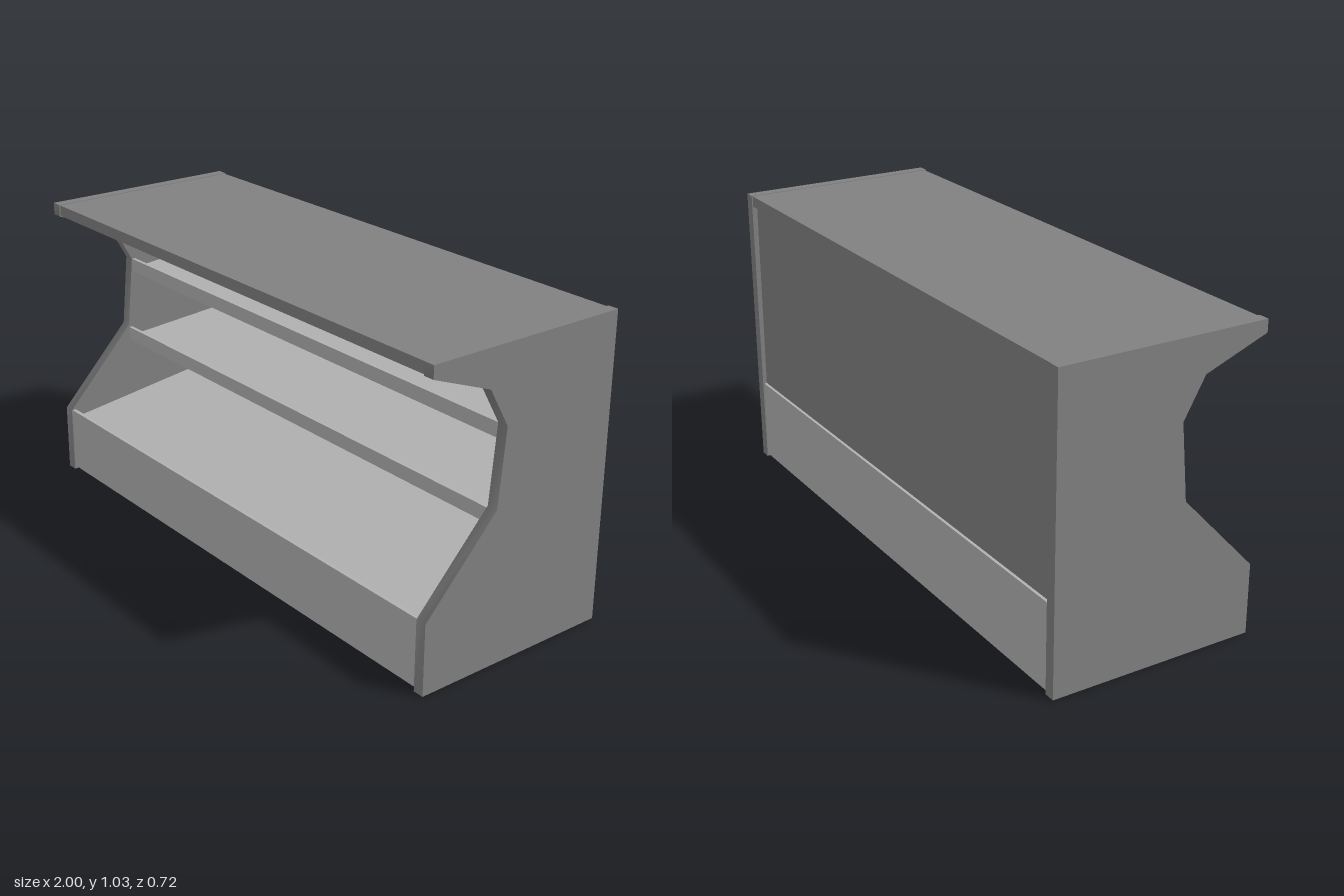
import * as THREE from 'three';
import { toCreasedNormals } from 'three/addons/utils/BufferGeometryUtils.js';

const HALF = 1, WALL = 0.038, INNER = HALF - WALL;

export function createModel() {
  const group = new THREE.Group();
  const darkGrey = new THREE.MeshStandardMaterial({ name: 'darkGrey', color: 0x808080 });
  const lightGrey = new THREE.MeshStandardMaterial({ name: 'lightGrey', color: 0xb0b0b0 });

  // Extrudes a side profile of [z, y] points from x0 to x1
  function profile(name, points, x0, x1, material, crease = 0) {
    const shape = new THREE.Shape(points.map(([z, y]) => new THREE.Vector2(-z, y)));
    let geo = new THREE.ExtrudeGeometry(shape, { depth: x1 - x0, bevelEnabled: false });
    geo.rotateY(Math.PI / 2).translate(x0, 0, 0);
    if (crease) geo = toCreasedNormals(geo, crease);
    const mesh = new THREE.Mesh(geo, material);
    mesh.name = name;
    group.add(mesh);
  }
  const across = (name, points, material) => profile(name, points, -INNER, INNER, material);
  const slab = (name, z0, z1, y0, y1, material) =>
    across(name, [[z0, y0], [z1, y0], [z1, y1], [z0, y1]], material);

  // Shaped end panels with softly shaded rims
  const side = [[0.362, 0], [0.36, 0.24], [0.095, 0.52], [0.07, 0.775], [0.143, 0.905],
    [0.36, 0.988], [0.36, 1.03], [-0.361, 1.03], [-0.355, 0]];
  profile('rightPanel', side, -HALF, -INNER, darkGrey, 1.25);
  profile('leftPanel', side, INNER, HALF, darkGrey, 1.25);

  // Counter top and recessed back
  slab('top', -0.357, 0.356, 0.99, 1.028, darkGrey);
  slab('backPanel', -0.342, -0.327, 0.28, 0.99, darkGrey);

  // Base with a deck rising towards the back, and its front lip
  across('base', [[0.356, 0.01], [0.356, 0.207], [-0.33, 0.3], [-0.352, 0.3], [-0.352, 0.01]], lightGrey);
  slab('baseLip', 0.343, 0.357, 0.2, 0.24, lightGrey);

  // Tilted shelves with front lips
  for (const [label, z, y] of [['lower', 0.094, 0.461], ['upper', 0.069, 0.724]]) {
    const rise = 0.033;
    across(label + 'Shelf', [[z - 0.002, y], [z - 0.002, y + 0.015], [-0.33, y + 0.015 + rise], [-0.33, y + rise]], lightGrey);
    slab(label + 'ShelfLip', z - 0.013, z, y + 0.015, y + 0.05, lightGrey);
  }
  return group;
}
